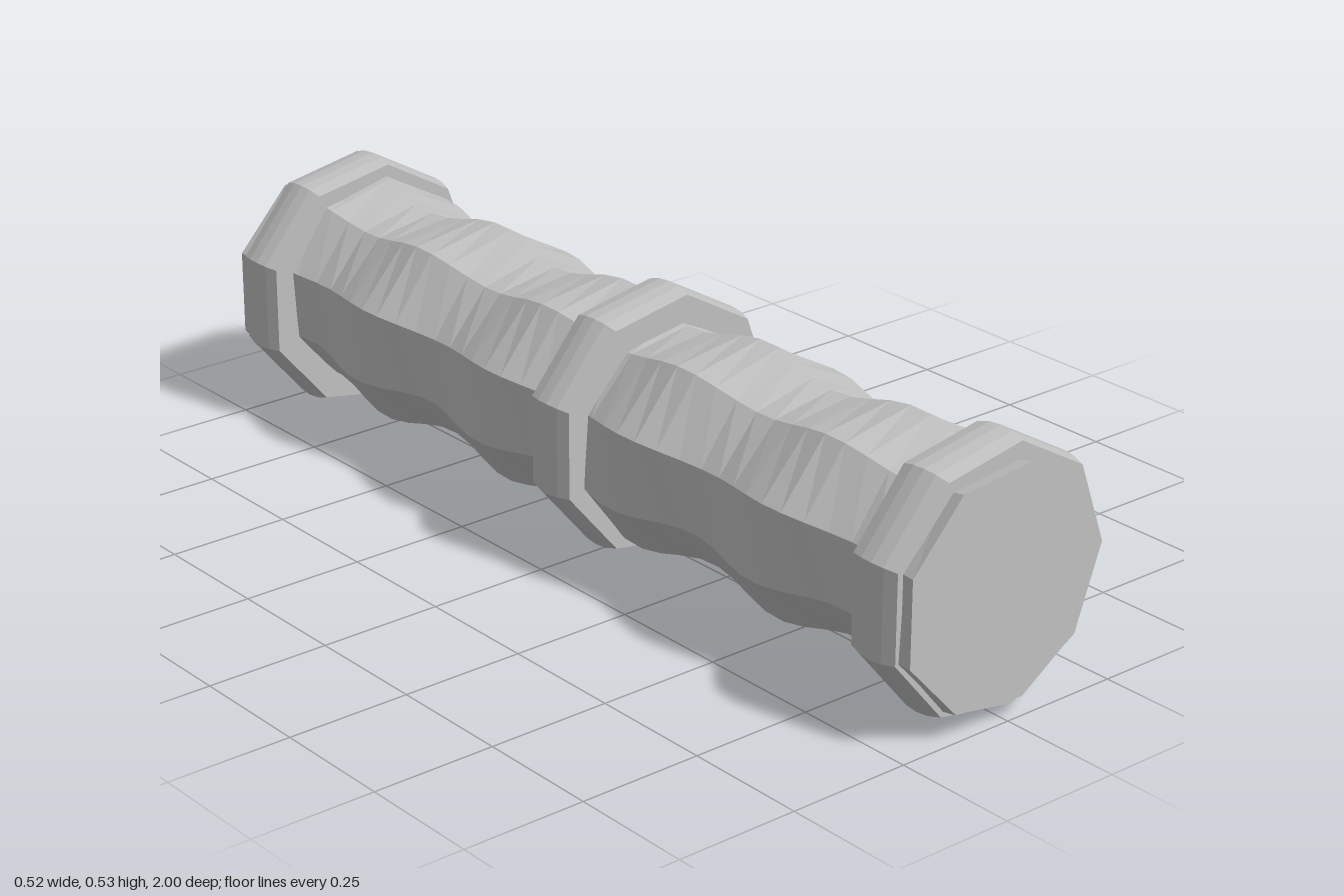
import * as THREE from 'three';

const SIDES = 9;
const CENTRE_X = -0.008, CENTRE_Y = 0.265;

// Nine-sided closed loft along z; radius(z, angle) gives each corner's distance from the axis
function loft(zs, radius) {
  const pos = [], index = [];
  zs.forEach((z) => {
    for (let j = 0; j < SIDES; j++) {
      const a = (j / SIDES) * Math.PI * 2;
      const r = radius(z, a);
      pos.push(r * Math.cos(a), r * Math.sin(a), z);
    }
  });
  for (let i = 0; i < zs.length - 1; i++) {
    for (let j = 0; j < SIDES; j++) {
      const k = (j + 1) % SIDES;
      const a = i * SIDES + j, b = i * SIDES + k;
      index.push(a, b, b + SIDES, a, b + SIDES, a + SIDES);
    }
  }
  // flat end caps
  const last = (zs.length - 1) * SIDES;
  for (let j = 1; j < SIDES - 1; j++) {
    index.push(0, j + 1, j);
    index.push(last, last + j, last + j + 1);
  }
  const geo = new THREE.BufferGeometry();
  geo.setAttribute('position', new THREE.Float32BufferAttribute(pos, 3));
  geo.setIndex(index);
  const flat = geo.toNonIndexed();
  flat.computeVertexNormals();
  return flat;
}

export function createModel() {
  const group = new THREE.Group();
  group.name = 'ringedLog';
  const grey = new THREE.MeshStandardMaterial({ color: 0xc0c0c0, flatShading: true });
  grey.name = 'grey';

  // Shaft: a wave winds helically around it, and the ends flare slightly
  const zs = [];
  for (let i = 0; i <= 40; i++) zs.push(-1 + i * 0.05);
  const shaft = new THREE.Mesh(loft(zs, (z, a) => {
    const mean = Math.abs(z) > 0.92 ? 0.2315 : 0.216;
    return mean + 0.018 * Math.cos((Math.PI * 2 * z) / 0.4 + a);
  }), grey);
  shaft.name = 'shaft';
  group.add(shaft);

  // Three collars with a softly crowned rim
  const half = 0.055;
  const rimSteps = [-half, -half / 2, 0, half / 2, half];
  const collarGeo = loft(rimSteps, (z) => 0.267 - 0.011 * (z / half) ** 2);
  [['frontCollar', 0.916], ['middleCollar', 0.032], ['backCollar', -0.92]].forEach(([name, z]) => {
    const collar = new THREE.Mesh(collarGeo, grey);
    collar.name = name;
    collar.position.z = z;
    group.add(collar);
  });

  group.children.forEach((part) => {
    part.position.x = CENTRE_X;
    part.position.y = CENTRE_Y;
  });
  return group;
}
